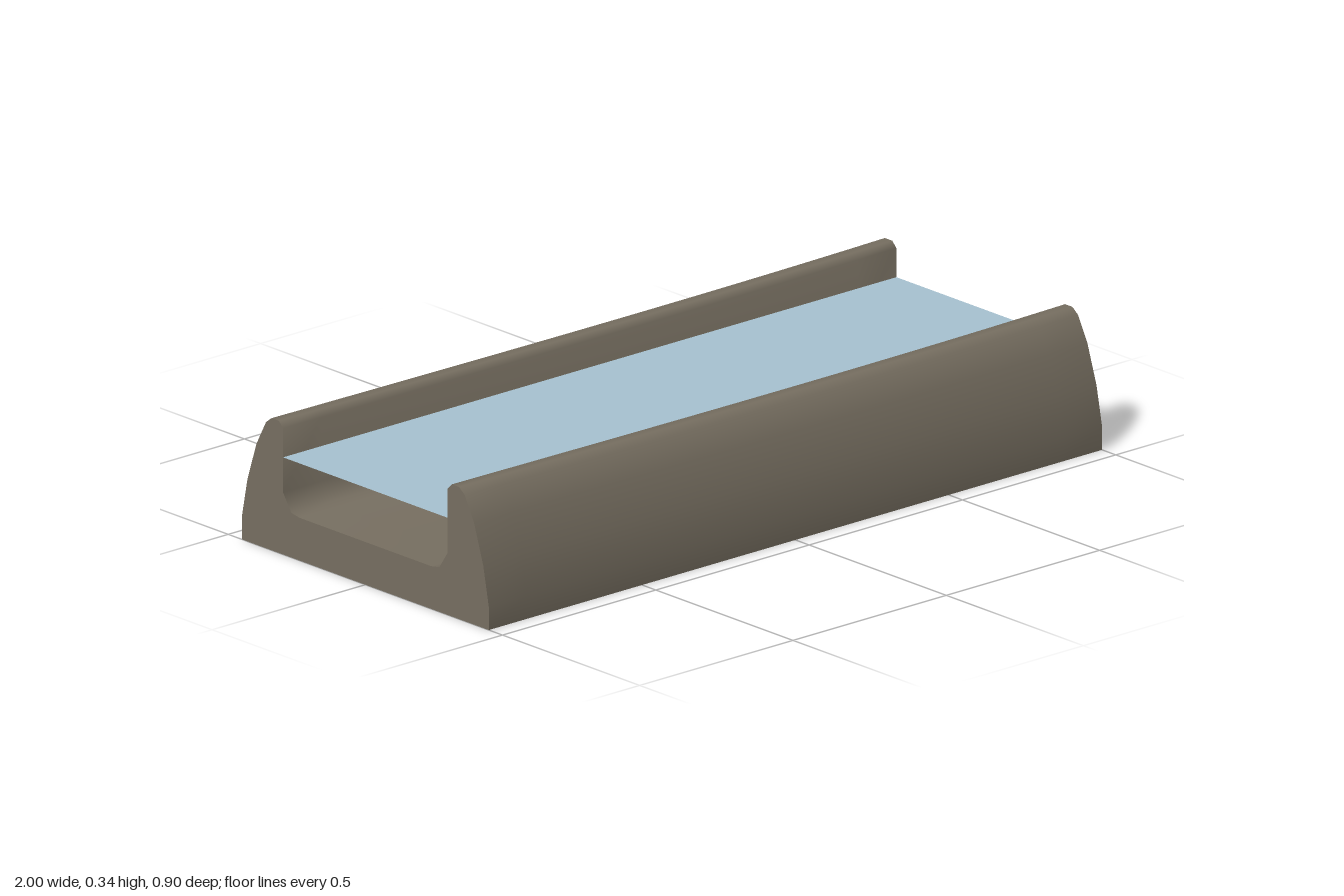
import * as THREE from 'three';
import { toCreasedNormals } from 'three/addons/utils/BufferGeometryUtils.js';

export function createModel() {
  const group = new THREE.Group();
  group.name = 'waterTrough';
  const stone = new THREE.MeshStandardMaterial({ color: 0x787062 });
  stone.name = 'stone';
  const water = new THREE.MeshStandardMaterial({ color: 0xa8c3d2, side: THREE.DoubleSide });
  water.name = 'water';

  // Half of the channel cross-section, from outer foot over the rim to the bed
  const half = [
    [0.45, 0], [0.45, 0.06], [0.43, 0.16], [0.397, 0.26], [0.362, 0.325], [0.342, 0.34],
    [0.315, 0.34], [0.3, 0.325], [0.3, 0.16], [0.27, 0.115], [0.24, 0.11],
  ];
  const mirrored = half.map(([z, y]) => [-z, y]).reverse();
  const profile = new THREE.Shape([...half, ...mirrored].map(([z, y]) => new THREE.Vector2(z, y)));

  // Channel body, run along x
  const body = new THREE.ExtrudeGeometry(profile, { depth: 2, steps: 16, bevelEnabled: false });
  body.translate(0, 0, -1).rotateY(Math.PI / 2);

  // Worn rims: the walls sag very slightly between the ends
  const pos = body.attributes.position;
  for (let i = 0; i < pos.count; i++) {
    const x = pos.getX(i), y = pos.getY(i);
    if (y < 0.2) continue;
    const sag = 0.006 * (1 - x * x) * (1 + 0.4 * x);
    pos.setY(i, y - sag * (y - 0.2) / 0.14);
  }
  const channel = new THREE.Mesh(toCreasedNormals(body, 0.9), stone);
  channel.name = 'channel';
  group.add(channel);

  // Water surface between the walls
  const surface = new THREE.Mesh(new THREE.PlaneGeometry(2, 0.6).rotateX(-Math.PI / 2), water);
  surface.name = 'waterSurface';
  surface.position.y = 0.25;
  group.add(surface);

  return group;
}
